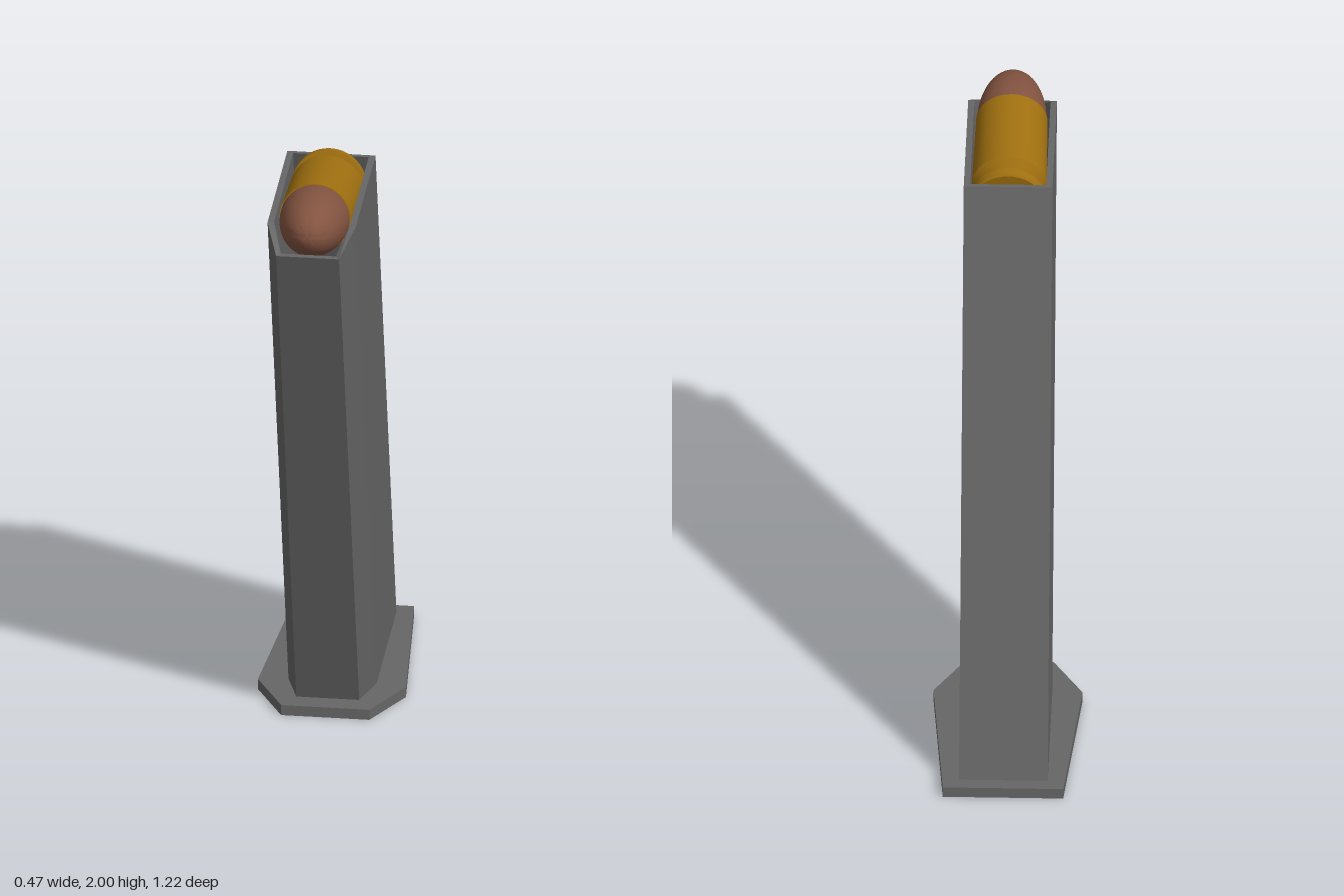
import * as THREE from 'three';
import { toCreasedNormals } from 'three/addons/utils/BufferGeometryUtils.js';

const steel = new THREE.MeshStandardMaterial({ color: 0x666666 });
const brass = new THREE.MeshStandardMaterial({ color: 0xa07010 });
const copper = new THREE.MeshStandardMaterial({ color: 0x825340 });

const PLATE_TOP = 0.035, TOP = 1.905, FRONT_TOP = 1.84, LEAN = 0.289;

function named(name, geometry, material) {
  const mesh = new THREE.Mesh(geometry, material);
  mesh.name = name;
  return mesh;
}

// Cross-section at the top: a box with its two front corners cut
const section = (half, back, shoulder, frontHalf, front) => [
  [-half, back], [-half, shoulder], [-frontHalf, front],
  [frontHalf, front], [half, shoulder], [half, back],
];

// Hollow leaning casing: outer wall, rim, inner wall
function casingGeometry() {
  const outer = section(0.14, -0.022, 0.49, 0.1, 0.614);
  const inner = section(0.12, -0.008, 0.485, 0.087, 0.594);
  // Slide a section back as it goes down; the front of the rim dips
  const ring = (points, atTop) => points.map(([x, z], i) => {
    const y = !atTop ? PLATE_TOP : (i === 2 || i === 3) ? FRONT_TOP : TOP;
    return [x, y, z - (TOP - y) * LEAN];
  });
  const rings = [ring(outer, false), ring(outer, true), ring(inner, true), ring(inner, false)];
  const positions = [];
  for (let r = 0; r < 3; r++) {
    for (let i = 0; i < 6; i++) {
      const j = (i + 1) % 6;
      const a = rings[r][i], b = rings[r][j], c = rings[r + 1][j], d = rings[r + 1][i];
      positions.push(...a, ...b, ...c, ...a, ...c, ...d);
    }
  }
  const geometry = new THREE.BufferGeometry();
  geometry.setAttribute('position', new THREE.Float32BufferAttribute(positions, 3));
  geometry.computeVertexNormals();
  return geometry;
}

// Flat base plate, widest near the front
function basePlateGeometry() {
  const outline = [[-0.14, 0.14], [0.14, 0.14], [0.235, -0.035],
    [0.19, -0.61], [-0.19, -0.61], [-0.235, -0.035]];
  const shape = new THREE.Shape(outline.map(([x, z]) => new THREE.Vector2(x, -z)));
  const geometry = new THREE.ExtrudeGeometry(shape, { depth: PLATE_TOP, bevelEnabled: false });
  return geometry.rotateX(-Math.PI / 2);
}

function lathe(points) {
  const profile = points.map(([r, y]) => new THREE.Vector2(r, y));
  return toCreasedNormals(new THREE.LatheGeometry(profile, 40), 0.45);
}

// Cartridge built upright along y, then laid forward, nose slightly raised
function createCartridge() {
  const group = new THREE.Group();
  group.name = 'cartridge';
  const mouth = 0.388, noseLength = 0.21, noseRadius = 0.11;

  group.add(named('cartridgeCase', lathe([
    [0, 0], [0.112, 0], [0.118, 0.006], [0.118, 0.03], [0.094, 0.036],
    [0.094, 0.062], [0.118, 0.085], [0.113, mouth], [noseRadius - 0.004, mouth],
  ]), brass));

  const nose = [];
  for (let i = 0; i <= 14; i++) {
    const t = (i / 14) * Math.PI / 2;
    nose.push([noseRadius * Math.cos(t), mouth + noseLength * Math.sin(t)]);
  }
  group.add(named('bulletNose', lathe(nose), copper));

  group.rotation.x = Math.PI / 2 - 0.168;
  group.position.set(0, 1.819, 0.02);
  return group;
}

export function createModel() {
  const model = new THREE.Group();
  model.name = 'magazine';
  model.add(
    named('casing', casingGeometry(), steel),
    named('basePlate', basePlateGeometry(), steel),
    createCartridge(),
  );
  return model;
}
